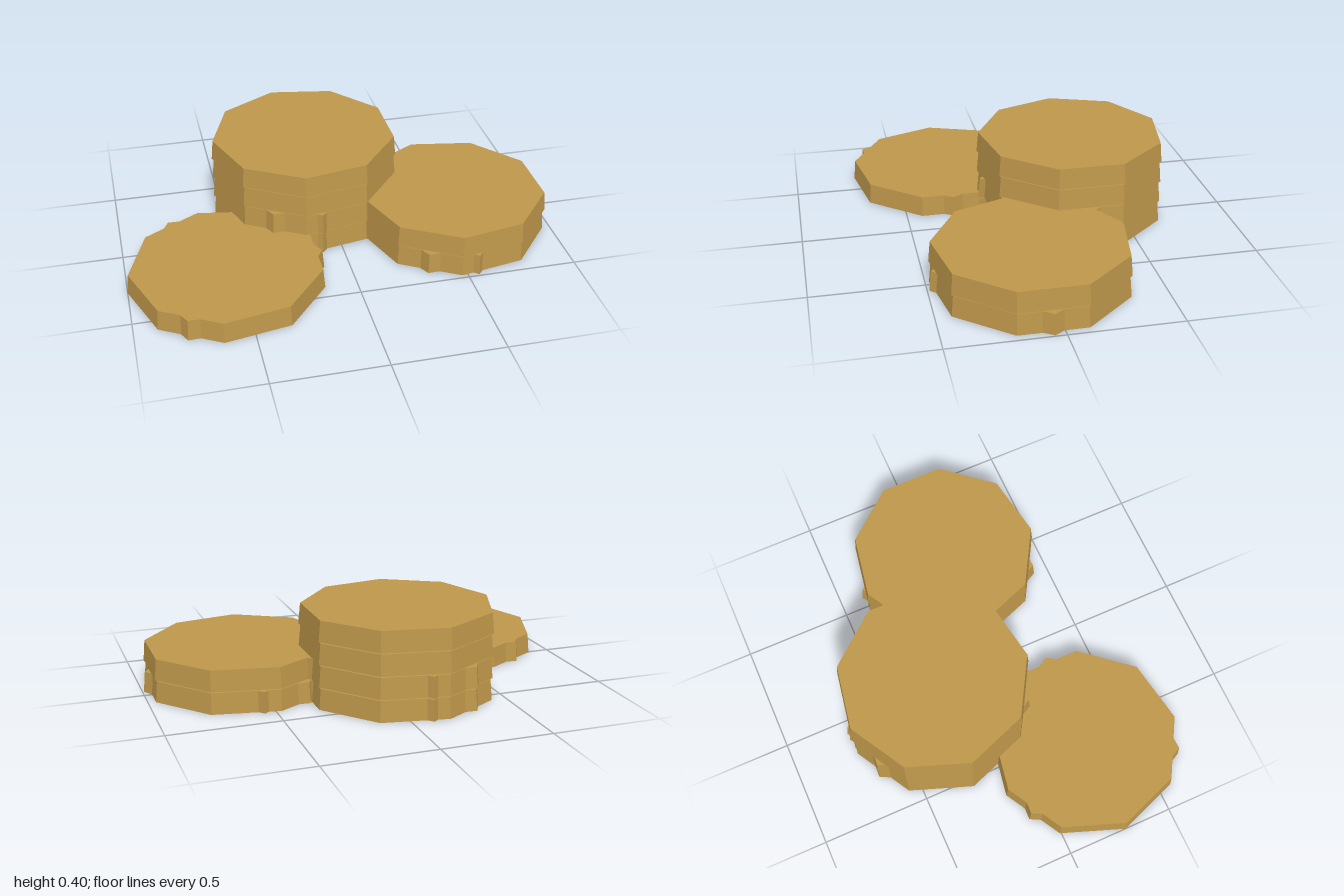
import * as THREE from 'three';

const R = 0.441;          // lower rim radius
const TAPER = 0.98;       // upper rim relative to lower rim
const H = 0.094;          // disc thickness
const PITCH = 0.1015;     // stacking distance, leaves a thin gap
const DEG = Math.PI / 180;

// Radius of a nine-sided outline (corners at 20, 60, 100 ... degrees) at an angle
function edgeRadius(deg) {
  const mid = Math.round(deg / 40) * 40;
  return R * Math.cos(20 * DEG) / Math.cos((deg - mid) * DEG);
}

// Nine-sided disc with small pointed bumps, each [angle, half width] in degrees
function discGeometry(bumps) {
  const pts = [];
  for (let a = 20; a < 360; a += 40) pts.push([a, R]);
  for (const [a, w] of bumps) {
    pts.push([a - w, edgeRadius(a - w)], [a, R + 0.002], [a + w, edgeRadius(a + w)]);
  }
  pts.sort((p, q) => p[0] - q[0]);
  const shape = new THREE.Shape(
    pts.map(([a, r]) => new THREE.Vector2(r * Math.cos(a * DEG), r * Math.sin(a * DEG)))
  );
  const geo = new THREE.ExtrudeGeometry(shape, { depth: H, bevelEnabled: false });
  geo.rotateX(-Math.PI / 2);
  // narrow the upper rim
  const pos = geo.attributes.position;
  for (let i = 0; i < pos.count; i++) {
    if (pos.getY(i) > H / 2) pos.setXYZ(i, pos.getX(i) * TAPER, pos.getY(i), pos.getZ(i) * TAPER);
  }
  geo.computeVertexNormals();
  return geo;
}

export function createModel() {
  const gold = new THREE.MeshStandardMaterial({ color: 0xbd964a, flatShading: true });
  gold.name = 'gold';

  const wide = [[0, 6.2], [120, 6.2], [240, 6.2]];
  const narrow = [[90, 3], [270, 3]];
  const plain = discGeometry([]);
  const threeBump = discGeometry(wide);
  const fiveBump = discGeometry([...wide, ...narrow]);

  // Three overlapping stacks, discs listed from the bottom up
  const stacks = [
    { name: 'tallStack', x: -0.094, z: -0.277, discs: [fiveBump, fiveBump, plain, plain] },
    { name: 'leftStack', x: 0.551, z: 0.048, discs: [fiveBump, plain] },
    { name: 'rightSingle', x: -0.559, z: 0.277, discs: [threeBump] },
  ];

  const model = new THREE.Group();
  model.name = 'coinPile';
  for (const s of stacks) {
    const group = new THREE.Group();
    group.name = s.name;
    group.position.set(s.x, 0, s.z);
    s.discs.forEach((geo, i) => {
      const coin = new THREE.Mesh(geo, gold);
      coin.name = `coin${i + 1}`;
      coin.position.y = i * PITCH;
      group.add(coin);
    });
    model.add(group);
  }
  return model;
}
